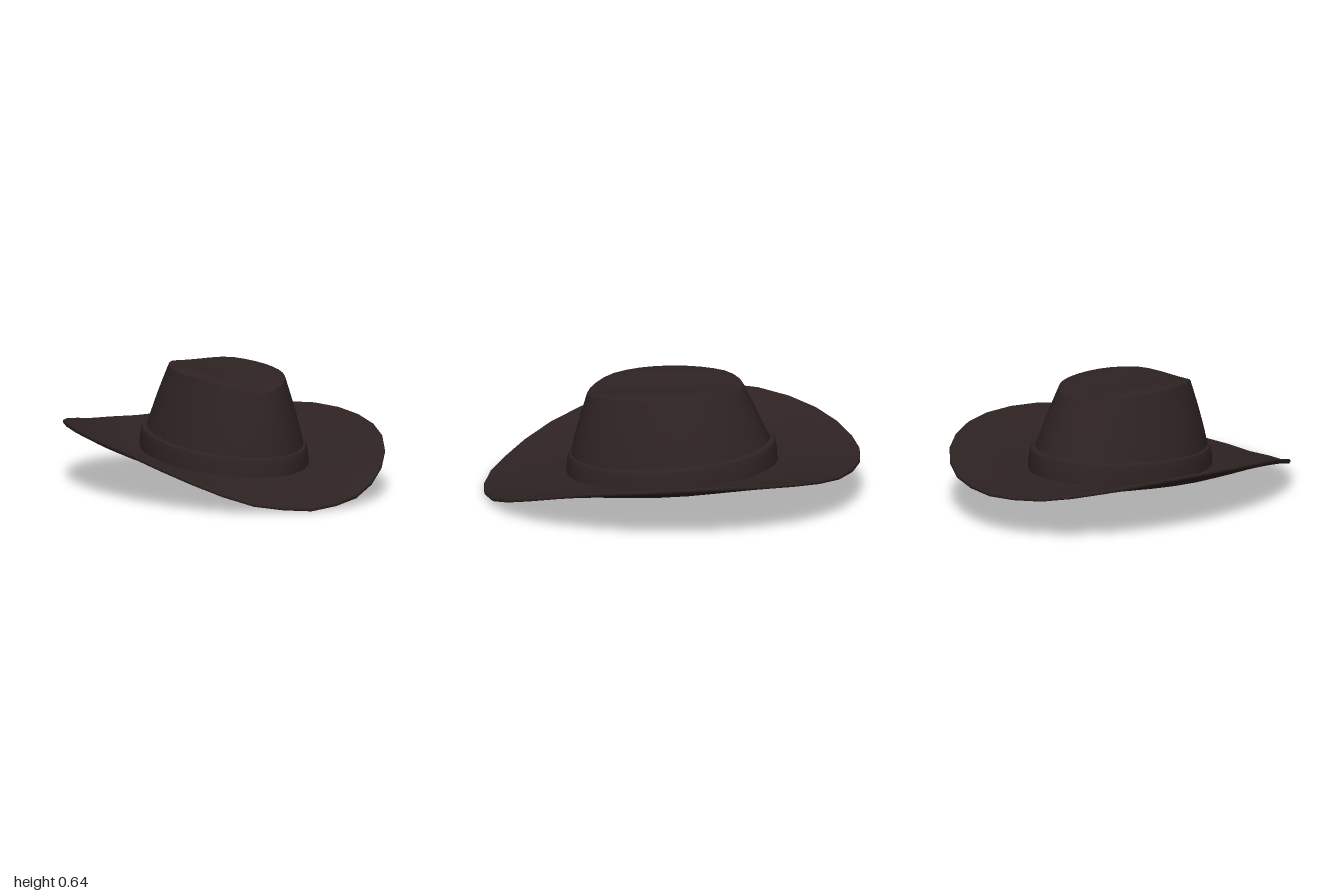
import * as THREE from 'three';

const SIDES = 32;
const lerp = THREE.MathUtils.lerp;

// Lofts closed oval rings; each ring maps an angle (0 = front, 90deg = +x) to a point.
function loft(name, rings, material) {
  const pos = [], index = [];
  for (const ring of rings)
    for (let j = 0; j < SIDES; j++) pos.push(...ring((j / SIDES) * Math.PI * 2));
  for (let i = 0; i < rings.length - 1; i++)
    for (let j = 0; j < SIDES; j++) {
      const k = (j + 1) % SIDES;
      const a = i * SIDES + j, b = i * SIDES + k, c = a + SIDES, d = b + SIDES;
      index.push(a, b, d, a, d, c);
    }
  const g = new THREE.BufferGeometry();
  g.setAttribute('position', new THREE.Float32BufferAttribute(pos, 3));
  g.setIndex(index);
  g.computeVertexNormals();
  const mesh = new THREE.Mesh(g, material);
  mesh.name = name;
  return mesh;
}

const steps = (n, from, to, fn) =>
  Array.from({ length: n + 1 }, (_, i) => fn(lerp(from, to, i / n)));

// Tilted planes where the crown meets the brim and where the band ends
const baseY = z => 0.17 - 0.08 * z;
const bandTopY = z => 0.278 - 0.1 * z;

// Brim edge height from front (0) to back (180deg)
const edgeHeights = [0.021, 0.058, 0.165, 0.272, 0.325, 0.338, 0.305, 0.255, 0.236];
const edgeCurve = new THREE.CatmullRomCurve3(
  edgeHeights.map((y, i) => new THREE.Vector3(i, y, 0)));
function edgeY(t) {
  const u = Math.acos(THREE.MathUtils.clamp(Math.cos(t), -1, 1)) / Math.PI;
  return edgeCurve.getPoint(u).y;
}

// Brim ring: s = 0 at the crown, 1 at the edge
const brimRing = (s, drop) => t => {
  const sx = Math.sin(t), cz = Math.cos(t);
  const y = lerp(baseY(0.55 * cz), edgeY(t), Math.pow(s, 1 + 0.45 * sx * sx));
  return [lerp(0.395, 0.805, s) * sx, y - drop, lerp(0.545, 1, s) * cz];
};

// Creased top of the crown; s is the distance from its centre to its rim
function topY(x, z, s) {
  const ridge = 0.64 - 0.05 * z - (z > 0 ? 0.25 * z ** 3 : 0);
  const crease = 0.022 * Math.max(0, 1 - (x / 0.19) ** 2) ** 1.5;
  return ridge - crease - 0.016 * s ** 6;
}
const topRing = (s, drop, inset) => t => {
  const x = (0.27 - inset) * s * Math.sin(t);
  const z = 0.035 + (0.415 - inset) * s * Math.cos(t);
  return [x, topY(x, z, s) - drop, z];
};

// Crown wall ring: h = 0 at the brim, 1 at the rim
const wallRing = (h, drop, inset) => t => {
  const sx = Math.sin(t), cz = Math.cos(t);
  const [rx, ry, rz] = topRing(1, drop, inset)(t);
  const bulge = 0.008 * Math.sin(Math.PI * h);
  return [
    lerp((0.405 - inset) * sx, rx, h) + bulge * sx,
    lerp(baseY(0.55 * cz) - drop, ry, h),
    lerp((0.555 - inset) * cz, rz, h) + bulge * cz,
  ];
};

// Band ring: h = 0 at the brim, 1 at its upper edge
const bandRing = (a, b, h) => t => {
  const z = b * Math.cos(t);
  return [a * Math.sin(t), lerp(baseY(z) - 0.004, bandTopY(z), h), z];
};

export function createModel() {
  const felt = new THREE.MeshStandardMaterial({ color: 0x2e2322, side: THREE.DoubleSide });
  felt.name = 'dark brown felt';
  const hat = new THREE.Group();
  hat.name = 'hat';

  // Curled brim: underside, thin edge, upper side
  hat.add(
    loft('brimUnderside', steps(8, 0, 0.99, s => brimRing(s, 0.02)), felt),
    loft('brimEdge', [brimRing(0.99, 0.02), brimRing(1, 0.015), brimRing(1, 0.005),
      brimRing(0.99, 0)], felt),
    loft('brimTop', steps(8, 0.99, 0, s => brimRing(s, 0)), felt),
  );

  // Crown wall and creased top
  hat.add(
    loft('crownWall', steps(8, 0, 1, h => wallRing(h, 0, 0)), felt),
    loft('crownTop', steps(10, 1, 0, s => topRing(s, 0, 0)), felt),
  );

  // Band around the foot of the crown
  hat.add(loft('hatBand', [bandRing(0.411, 0.561, 0), bandRing(0.408, 0.558, 0.5),
    bandRing(0.401, 0.549, 0.9), bandRing(0.394, 0.543, 1), bandRing(0.372, 0.52, 1.02)], felt));

  // Hollow inside
  hat.add(
    loft('liningTop', steps(8, 0, 1, s => topRing(s, 0.02, 0.01)), felt),
    loft('liningWall', steps(8, 1, 0, h => wallRing(h, 0.02, 0.01)), felt),
  );
  return hat;
}
